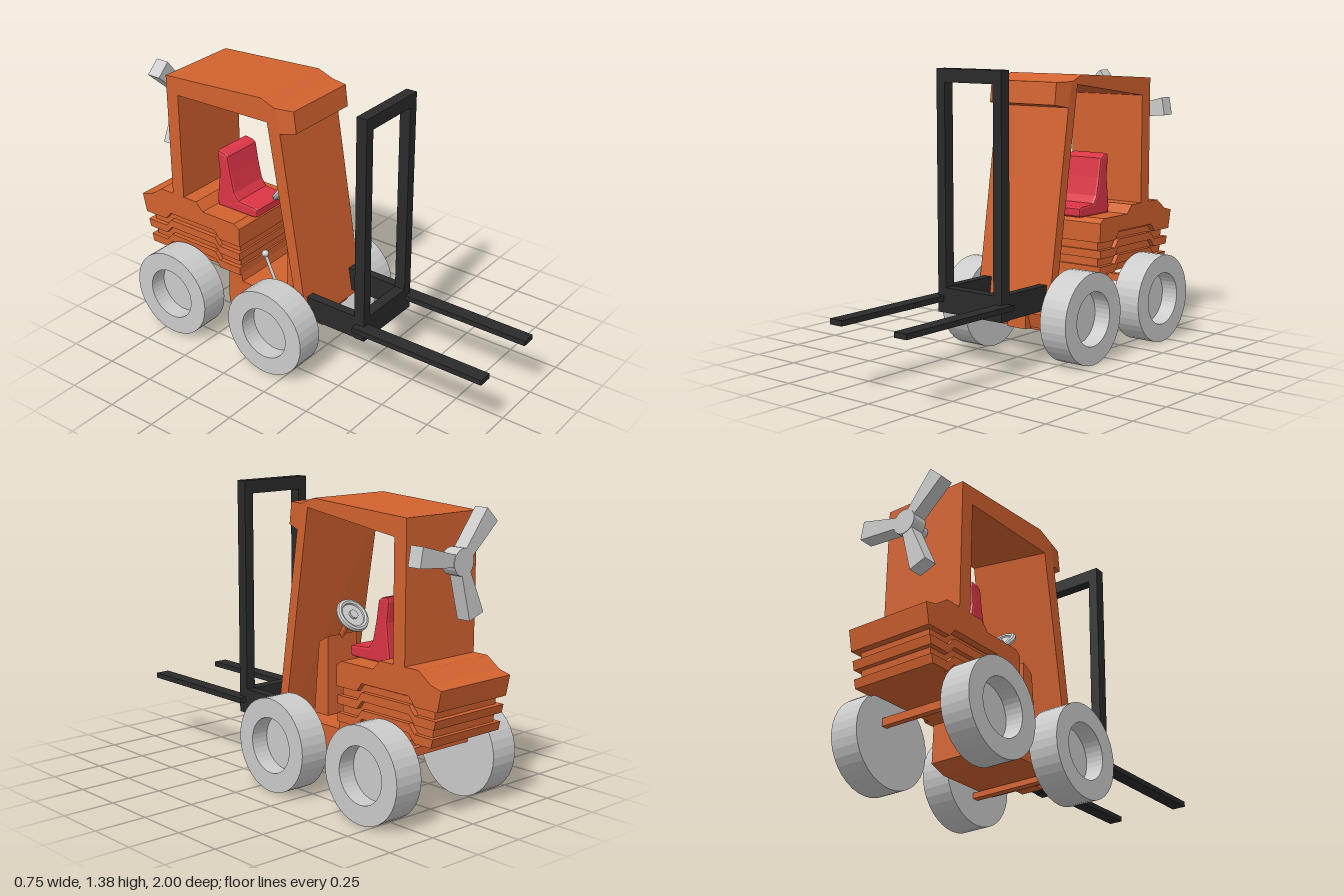
import * as THREE from 'three';

const material = (color) => new THREE.MeshStandardMaterial({ color, flatShading: true });

export function createModel() {
  const model = new THREE.Group();
  const orange = material(0xd2622f);
  const black = material(0x2a2a2a);
  const red = material(0xdc3545);
  const grey = material(0xcccccc);

  const add = (name, geometry, mat, parent = model) => {
    const mesh = new THREE.Mesh(geometry, mat);
    mesh.name = name;
    parent.add(mesh);
    return mesh;
  };
  // box given by its limits on each axis
  const box = (name, mat, [x0, x1], [y0, y1], [z0, z1]) => {
    const g = new THREE.BoxGeometry(x1 - x0, y1 - y0, z1 - z0);
    g.translate((x0 + x1) / 2, (y0 + y1) / 2, (z0 + z1) / 2);
    return add(name, g, mat);
  };
  // side profile of [z, y] points, extruded across x and centred
  const profile = (points, halfWidth, bevel = 0) => {
    const shape = new THREE.Shape(points.map(([z, y]) => new THREE.Vector2(z, y)));
    const g = new THREE.ExtrudeGeometry(shape, {
      depth: 2 * (halfWidth - bevel), bevelEnabled: bevel > 0, bevelSize: bevel,
      bevelThickness: bevel, bevelOffset: -bevel, bevelSegments: 2,
    });
    return g.translate(0, 0, bevel - halfWidth).rotateY(-Math.PI / 2);
  };
  // rod between two points
  const rod = (name, mat, a, b, r0, r1 = r0) => {
    const from = new THREE.Vector3(...a), dir = new THREE.Vector3(...b).sub(from);
    const g = new THREE.CylinderGeometry(r1, r0, dir.length(), 12);
    const mesh = add(name, g, mat);
    mesh.position.copy(from).addScaledVector(dir, 0.5);
    mesh.quaternion.setFromUnitVectors(new THREE.Vector3(0, 1, 0), dir.normalize());
    return mesh;
  };

  // cab: front panel, visor, roof and rear panel in one strip with open sides
  const cab = profile([
    [0.042, 0.24], [-0.107, 1.2], [-0.03, 1.215], [-0.043, 1.32], [-0.134, 1.32],
    [-0.215, 1.35], [-0.79, 1.315], [-0.79, 0.66], [-0.72, 0.66], [-0.72, 1.23],
    [-0.177, 1.305], [-0.01, 0.24],
  ], 0.215);
  const p = cab.attributes.position;
  for (let i = 0; i < p.count; i++) {
    const x = p.getX(i), y = p.getY(i), z = p.getZ(i);
    // narrowed visor front
    if (z > -0.06 && y > 1.2) p.setX(i, x * 0.9);
    // roof is thicker along one side of the opening
    if (x < 0 && Math.abs(z + 0.177) < 0.001 && y > 1.3) p.setXYZ(i, x, 1.24, -0.18);
  }
  cab.computeVertexNormals();
  add('cab', cab, orange);

  // rear body cap
  add('rearBodyCap', profile([
    [-0.37, 0.53], [-0.37, 0.625], [-0.4, 0.647], [-0.6, 0.647], [-0.64, 0.69],
    [-0.87, 0.69], [-0.94, 0.64], [-1, 0.625], [-0.98, 0.53], [-0.85, 0.53],
    [-0.815, 0.57], [-0.53, 0.57], [-0.5, 0.53],
  ], 0.215), orange);
  // core and stepped ribs under the cap
  add('rearBodyCore', profile([
    [-0.385, 0.37], [-0.385, 0.56], [-0.95, 0.56], [-0.93, 0.37],
  ], 0.19), orange);
  const rib = (y, back) => profile([
    [-0.375, y], [-0.5, y], [-0.53, y + 0.04], [-0.815, y + 0.04], [-0.85, y], [back + 0.01, y],
    [back, y + 0.04], [-0.85, y + 0.04], [-0.815, y + 0.08], [-0.53, y + 0.08],
    [-0.5, y + 0.04], [-0.375, y + 0.04],
  ], 0.213);
  [[0.45, -0.97], [0.37, -0.955]].forEach(([y, back]) => add('bodyRib', rib(y, back), orange));

  // floor tub joining the front panel to the rear body
  add('chassis', profile([
    [0.0, 0.25], [-0.03, 0.155], [-0.38, 0.155], [-0.46, 0.185], [-0.455, 0.37],
    [-0.38, 0.4], [-0.37, 0.33], [0.0, 0.33],
  ], 0.2), orange);
  box('chassisNose', orange, [-0.055, 0.055], [0.15, 0.24], [-0.04, 0.01]);

  // axles
  box('frontAxle', orange, [-0.235, 0.235], [0.125, 0.152], [-0.135, -0.1]);
  box('rearAxle', orange, [-0.235, 0.235], [0.27, 0.308], [-0.755, -0.725]);

  // wheels with a recessed hub on the outer side
  const tire = new THREE.LatheGeometry([
    [0, 0], [0.22, 0], [0.22, 0.145], [0.13, 0.145], [0.13, 0.06], [0, 0.06],
  ].map(([r, h]) => new THREE.Vector2(r, h)), 36);
  for (const side of [-1, 1]) {
    for (const [name, z] of [['frontWheel', -0.1], ['rearWheel', -0.69]]) {
      const wheel = add(name, tire, grey);
      wheel.position.set(side * 0.228, 0.225, z);
      wheel.rotation.z = -side * Math.PI / 2;
    }
  }

  // mast frame
  const rect = (Type, x, y0, y1) => new Type([[-x, y0], [x, y0], [x, y1], [-x, y1]]
    .map(([a, b]) => new THREE.Vector2(a, b)));
  const frame = rect(THREE.Shape, 0.19, 0.262, 1.387);
  frame.holes.push(rect(THREE.Path, 0.142, 0.38, 1.325));
  add('mast', new THREE.ExtrudeGeometry(frame, { depth: 0.055, bevelEnabled: false })
    .translate(0, 0, 0.295), black);
  // mast arms and forks
  for (const s of [-1, 1]) {
    const span = (a, b) => (s > 0 ? [a, b] : [-b, -a]);
    box('mastArm', black, span(0.145, 0.19), [0.265, 0.382], [0.0, 0.3]);
    box('fork', black, span(0.155, 0.225), [0.315, 0.341], [0.305, 1]);
  }

  // seat
  add('seat', profile([
    [-0.343, 0.655], [-0.343, 0.69], [-0.36, 0.7], [-0.46, 0.705], [-0.485, 0.74],
    [-0.505, 0.83], [-0.52, 0.925], [-0.54, 0.938], [-0.58, 0.945], [-0.585, 0.92],
    [-0.575, 0.83], [-0.595, 0.68], [-0.59, 0.645], [-0.36, 0.645],
  ], 0.11, 0.012), red);

  // steering console, column and wheel
  add('steeringConsole', profile([
    [-0.08, 0.3], [-0.115, 0.67], [-0.177, 0.705], [-0.177, 0.3],
  ], 0.09), orange);
  rod('steeringColumn', orange, [0, 0.68, -0.16], [0, 0.79, -0.225], 0.014);
  const steering = new THREE.Group();
  steering.name = 'steeringWheel';
  steering.position.set(0, 0.8, -0.243);
  steering.lookAt(0, 0.8 + 0.64, -0.243 - 0.77);
  add('rim', new THREE.TorusGeometry(0.07, 0.015, 8, 28), grey, steering);
  add('hub', new THREE.CylinderGeometry(0.022, 0.022, 0.03, 16).rotateX(Math.PI / 2), grey, steering);
  add('dish', new THREE.CylinderGeometry(0.065, 0.065, 0.008, 24).rotateX(Math.PI / 2), grey, steering);
  model.add(steering);

  // hand lever
  rod('lever', grey, [-0.15, 0.36, -0.2], [-0.15, 0.495, -0.262], 0.008);
  add('leverKnob', new THREE.SphereGeometry(0.018, 12, 8), grey).position.set(-0.15, 0.502, -0.264);

  // rear fan
  const fan = new THREE.Group();
  fan.name = 'fan';
  fan.position.set(0.005, 1.125, -0.883);
  add('fanHub', new THREE.CylinderGeometry(0.06, 0.06, 0.075, 24).rotateX(Math.PI / 2), grey, fan);
  const blade = new THREE.Shape([[0.03, -0.025], [0.255, -0.045], [0.255, 0.045], [0.03, 0.025]]
    .map(([a, b]) => new THREE.Vector2(a, b)));
  const bladeGeometry = new THREE.ExtrudeGeometry(blade, { depth: 0.07, bevelEnabled: false })
    .translate(0, 0, -0.035);
  for (const angle of [10, 133, 250]) {
    add('fanBlade', bladeGeometry, grey, fan).rotation.z = THREE.MathUtils.degToRad(angle);
  }
  model.add(fan);
  rod('fanShaft', grey, [0.005, 1.125, -0.78], [0.005, 1.125, -0.86], 0.026);

  return model;
}
